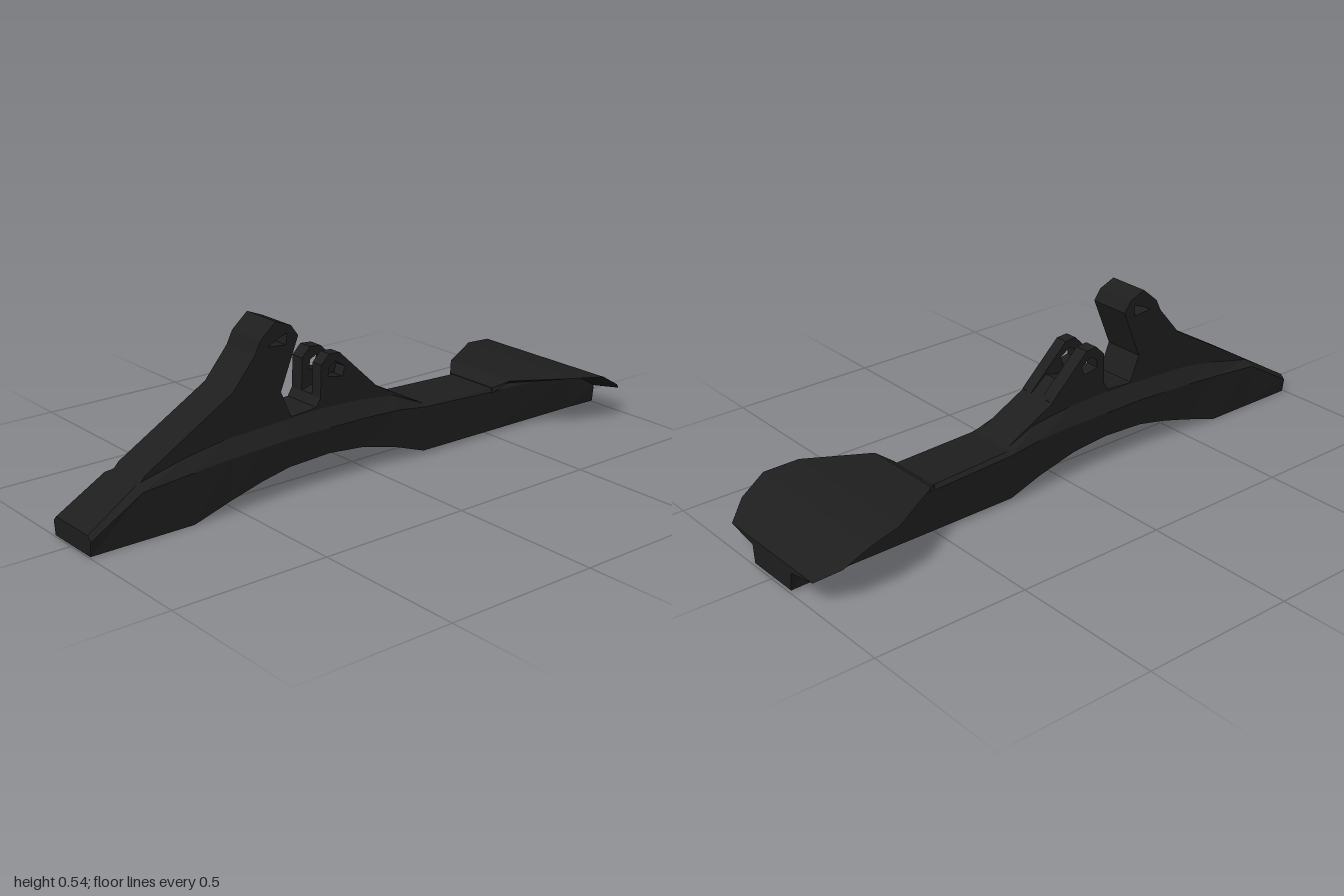
import * as THREE from 'three';

const material = new THREE.MeshStandardMaterial({ color: 0x1e1e1e, flatShading: true });

function add(group, name, geometry) {
  const mesh = new THREE.Mesh(geometry, material);
  mesh.name = name;
  group.add(mesh);
  return mesh;
}

// Skin a row of equal-length cross-sections running along +x, with end caps.
function loft(rings) {
  const n = rings[0].length;
  const index = [];
  for (let i = 0; i < rings.length - 1; i++) {
    for (let j = 0; j < n; j++) {
      const a = i * n + j, b = i * n + (j + 1) % n, c = b + n, d = a + n;
      index.push(a, d, c, a, c, b);
    }
  }
  const last = (rings.length - 1) * n;
  for (let j = 1; j < n - 1; j++) {
    index.push(0, j, j + 1, last, last + j + 1, last + j);
  }
  const g = new THREE.BufferGeometry();
  g.setAttribute('position', new THREE.Float32BufferAttribute(rings.flat(2), 3));
  g.setIndex(index);
  const flat = g.toNonIndexed();
  flat.computeVertexNormals();
  return flat;
}

// Side profile extruded between two z positions, with optional window.
function slab(points, z0, z1, hole) {
  const toVectors = list => list.map(([x, y]) => new THREE.Vector2(x, y));
  const shape = new THREE.Shape(toVectors(points));
  if (hole) shape.holes.push(new THREE.Path(toVectors(hole)));
  const g = new THREE.ExtrudeGeometry(shape, { depth: z1 - z0, bevelEnabled: false });
  return g.translate(0, 0, z0);
}

export function createModel() {
  const group = new THREE.Group();
  group.name = 'curvedRest';

  // Arched lower body: x, underside, shoulder height, top height, top half width
  const stations = [
    [-1, 0, 0.045, 0.06, 0.085],
    [-0.83, 0, 0.145, 0.16, 0.07],
    [-0.66, 0, 0.16, 0.2, 0.07],
    [-0.53, 0.04, 0.17, 0.22, 0.07],
    [-0.42, 0.07, 0.175, 0.225, 0.07],
    [-0.32, 0.09, 0.18, 0.23, 0.07],
    [-0.17, 0.097, 0.18, 0.235, 0.07],
    [-0.04, 0.085, 0.18, 0.23, 0.07],
    [0.1, 0.05, 0.175, 0.215, 0.07],
    [0.21, 0.012, 0.16, 0.17, 0.085],
    [0.52, 0.01, 0.145, 0.157, 0.09],
    [0.87, 0.008, 0.13, 0.145, 0.095],
    [0.99, 0.005, 0.06, 0.07, 0.1],
  ];
  add(group, 'lowerBody', loft(stations.map(([x, yb, ys, yt, wt]) => [
    [x, yb, 0.094], [x, ys, 0.1], [x, yt, wt],
    [x, yt, -wt], [x, ys, -0.1], [x, yb, -0.094],
  ])));

  // Rear ramp rising to the tall pierced horn
  add(group, 'hornRamp', slab([
    [-0.83, 0.15], [-0.3, 0.15], [-0.28, 0.235], [-0.295, 0.237], [-0.33, 0.32],
    [-0.265, 0.48], [-0.29, 0.515], [-0.345, 0.537], [-0.4, 0.49], [-0.42, 0.45],
    [-0.5, 0.355], [-0.8, 0.18],
  ], -0.07, 0.07, [[-0.375, 0.465], [-0.31, 0.46], [-0.305, 0.495], [-0.335, 0.485]]));

  // Low block that carries the forked lug
  add(group, 'lugBase', slab([
    [-0.3, 0.15], [0.18, 0.15], [0.21, 0.17], [0.03, 0.262],
    [-0.03, 0.31], [-0.183, 0.27], [-0.2, 0.242], [-0.295, 0.235],
  ], -0.07, 0.07));

  // Two pierced prongs with an open slot between them
  for (const [name, z0, z1] of [['leftProng', 0.028, 0.07], ['rightProng', -0.07, -0.022]]) {
    add(group, name, slab([
      [-0.185, 0.24], [0.0, 0.24], [0.03, 0.265], [-0.11, 0.397], [-0.15, 0.4], [-0.18, 0.37],
    ], z0, z1, [[-0.155, 0.33], [-0.1, 0.32], [-0.09, 0.35], [-0.125, 0.372], [-0.15, 0.36]]));
  }

  // Flared end plate: x, height, half width
  const plate = [
    [0.5, 0.16, 0.1], [0.54, 0.185, 0.14], [0.73, 0.183, 0.255],
    [0.84, 0.17, 0.275], [0.925, 0.122, 0.26], [0.99, 0.083, 0.21],
  ];
  add(group, 'flaredPlate', loft(plate.map(([x, y, w]) => [
    [x, y - 0.02, 0.1], [x, y, w], [x, y, -w], [x, y - 0.02, -0.1],
  ])));

  group.position.x = 0.005;
  const root = new THREE.Group();
  root.add(group);
  return root;
}
